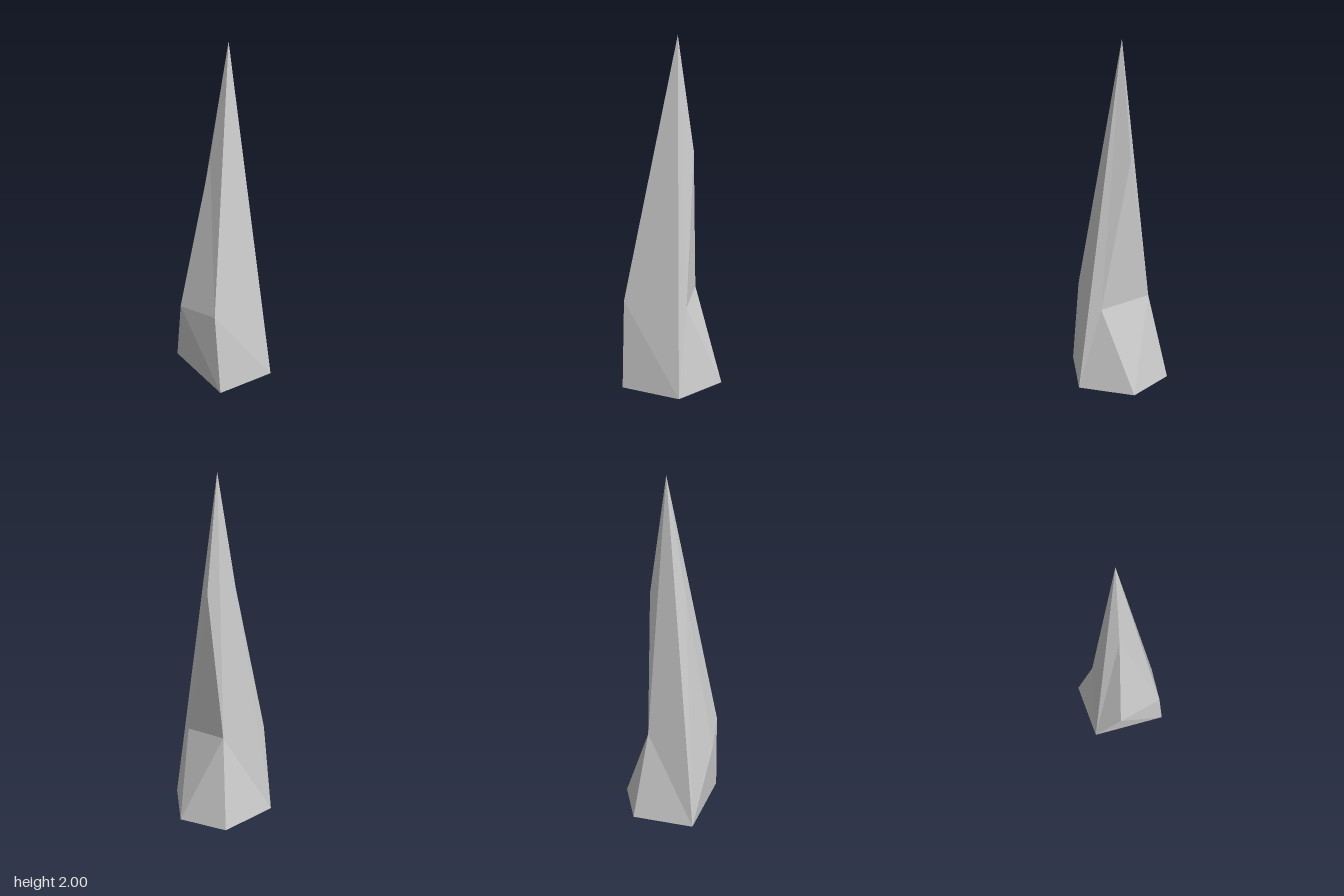
import * as THREE from 'three';

// Corners of the faceted spike
const corners = {
  // base pentagon
  baseLeft: [-0.29, 0, 0.155],
  baseFront: [0.04, 0, 0.3],
  baseRight: [0.287, 0, 0.07],
  baseBack: [0.222, 0, -0.215],
  baseRear: [-0.135, 0, -0.3],
  // shoulder ring
  midLeft: [-0.28, 0.51, 0.11],
  midFront: [0.08, 0.49, 0.165],
  midBack: [0.131, 0.53, -0.13],
  midRear: [-0.248, 0.47, -0.165],
  // upper ring and tip
  highRight: [0.117, 1.36, -0.01],
  highRear: [-0.08, 1.37, -0.06],
  tip: [0.025, 2, -0.01],
};

// Facets, counter-clockwise from outside
const facets = [
  // front
  'tip midLeft baseFront', 'baseLeft baseFront midLeft',
  // right side with its notch
  'tip baseFront midFront', 'baseFront baseRight midFront',
  'tip midFront highRight', 'midFront midBack highRight',
  'midFront baseRight midBack', 'tip highRight midBack',
  // back
  'baseRight baseBack midBack', 'baseBack baseRear midBack',
  'tip midBack baseRear', 'tip baseRear highRear',
  // left side
  'highRear baseRear midRear', 'baseRear baseLeft midRear',
  'midRear baseLeft midLeft', 'highRear midRear midLeft',
  'tip highRear midLeft',
  // underside
  'baseLeft baseRear baseBack', 'baseLeft baseBack baseRight',
  'baseLeft baseRight baseFront',
];

export function createModel() {
  const positions = facets.flatMap((f) => f.split(' ').flatMap((name) => corners[name]));
  const geometry = new THREE.BufferGeometry();
  geometry.setAttribute('position', new THREE.Float32BufferAttribute(positions, 3));
  geometry.computeVertexNormals();

  const spike = new THREE.Mesh(
    geometry,
    new THREE.MeshStandardMaterial({ color: 0xcccccc, flatShading: true }),
  );
  spike.name = 'rockSpike';

  const model = new THREE.Group();
  model.name = 'stalagmite';
  model.add(spike);
  return model;
}
